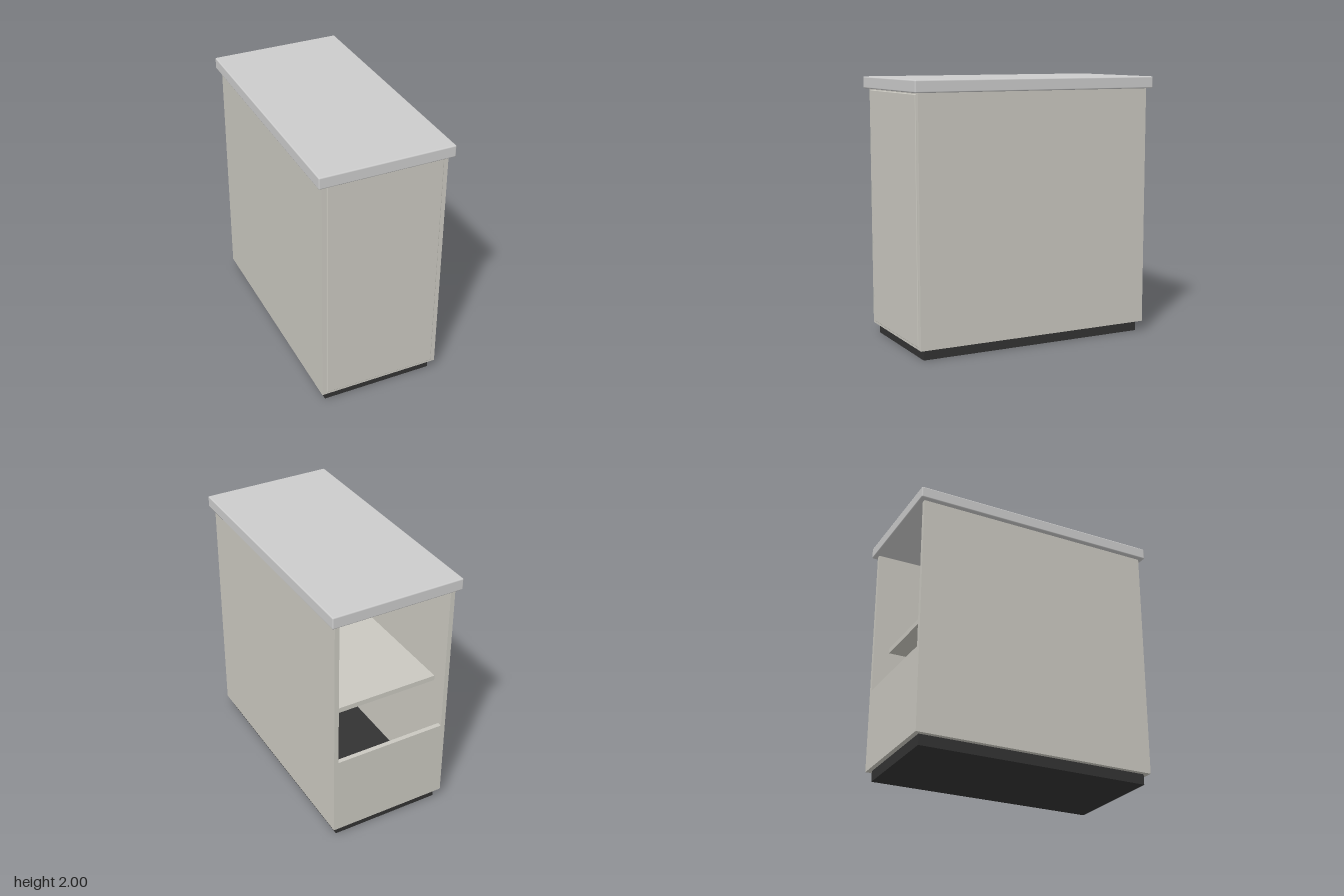
import * as THREE from 'three';
import { RoundedBoxGeometry } from 'three/addons/geometries/RoundedBoxGeometry.js';

const bodyMat = new THREE.MeshStandardMaterial({ color: 0xcac8c0 });
const topMat = new THREE.MeshStandardMaterial({ color: 0xcccccc });
const plinthMat = new THREE.MeshStandardMaterial({ color: 0x333333 });

// Box given by its [min, max] extent on each axis; a radius softens its edges
function addBox(group, name, [x0, x1], [y0, y1], [z0, z1], material, radius = 0) {
  const size = [x1 - x0, y1 - y0, z1 - z0];
  const geometry = radius
    ? new RoundedBoxGeometry(...size, 3, radius)
    : new THREE.BoxGeometry(...size);
  const mesh = new THREE.Mesh(geometry, material);
  mesh.name = name;
  mesh.position.set((x0 + x1) / 2, (y0 + y1) / 2, (z0 + z1) / 2);
  group.add(mesh);
}

export function createModel() {
  const cabinet = new THREE.Group();
  cabinet.name = 'cabinet';

  const halfWidth = 0.473, halfDepth = 0.945; // carcass
  const bottom = 0.08, top = 1.91, board = 0.035;
  const inner = halfWidth - board;
  const span = [-inner, inner];

  // Recessed base, also seen as the floor inside
  addBox(cabinet, 'plinth', [-0.435, 0.435], [0, bottom + 0.003], [-0.908, 0.908], plinthMat);

  // Side panels
  for (const [name, s] of [['leftSide', 1], ['rightSide', -1]]) {
    const x = [s * inner, s * halfWidth].sort((a, b) => a - b);
    addBox(cabinet, name, x, [bottom, top], [-halfDepth, halfDepth], bodyMat);
  }

  // Closed front with a thin door laid over it
  addBox(cabinet, 'frontPanel', span, [bottom, top], [halfDepth - board, halfDepth], bodyMat);
  addBox(cabinet, 'door', span, [0.1, 1.9], [halfDepth - 0.018, 0.953], bodyMat, 0.006);

  // Low back panel, open above it, with a shelf set inside
  addBox(cabinet, 'backPanel', span, [bottom, 0.725], [-halfDepth, -halfDepth + board], bodyMat);
  addBox(cabinet, 'shelf', span, [1.065, 1.105], [-0.82, 0.13], bodyMat);

  // Overhanging worktop with softened edges
  addBox(cabinet, 'worktop', [-0.51, 0.51], [top, 2], [-0.982, 0.982], topMat, 0.01);

  return cabinet;
}
